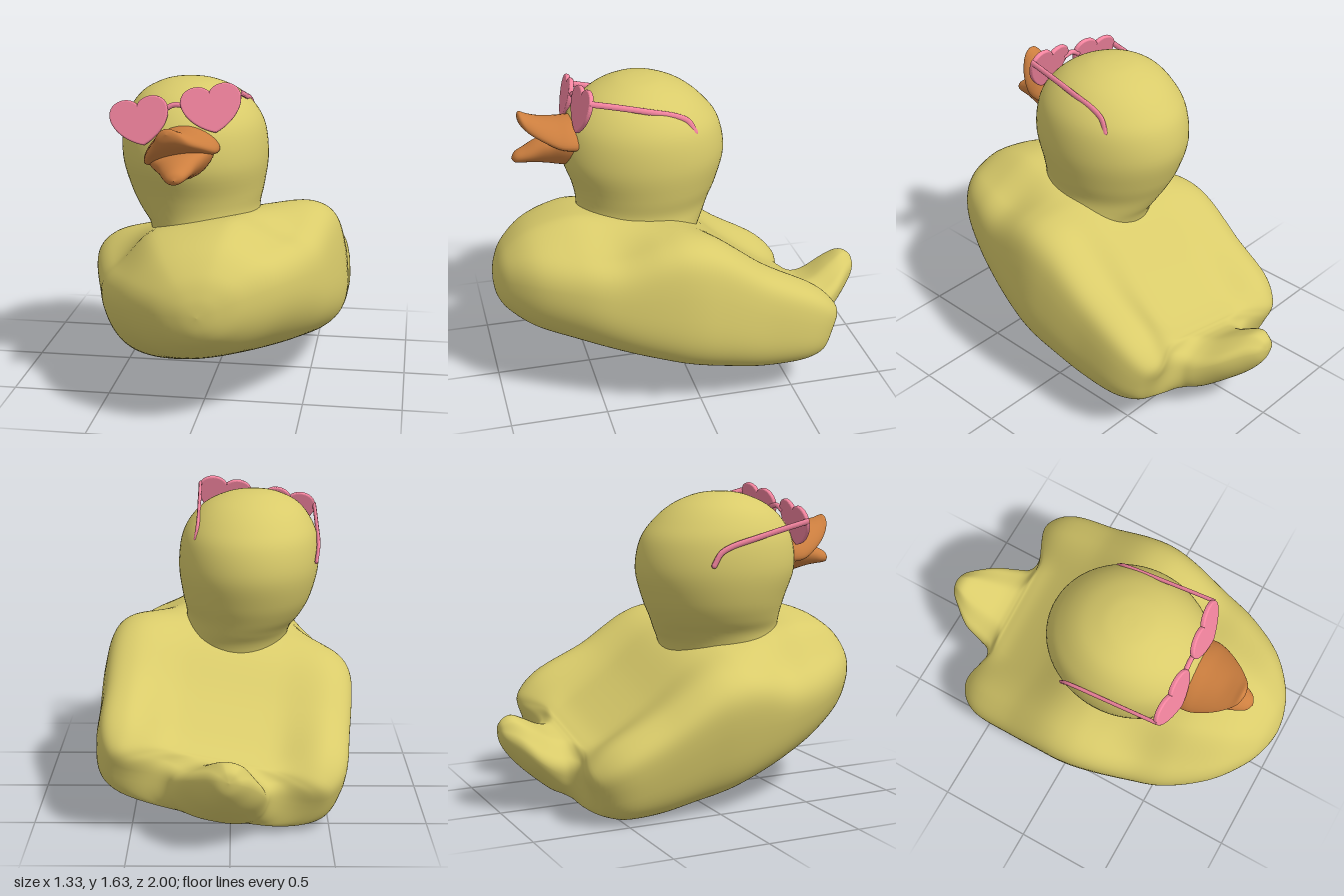
import * as THREE from 'three';

const ROLL = 0.2;
const yellow = new THREE.MeshStandardMaterial({ color: 0xd9cb6a });
const orange = new THREE.MeshStandardMaterial({ color: 0xcd7f3f });
const pink = new THREE.MeshStandardMaterial({ color: 0xf585a0 });

const { smoothstep, lerp } = THREE.MathUtils;
const spow = (v, e) => Math.sign(v) * Math.abs(v) ** e;

// Smoothly resample a table of rows (Catmull-Rom on every column)
function resample(rows, steps) {
  const out = [];
  const n = rows.length - 1;
  for (let i = 0; i < n; i++) {
    const p = [rows[Math.max(i - 1, 0)], rows[i], rows[i + 1], rows[Math.min(i + 2, n)]];
    for (let k = 0; k < steps; k++) {
      const t = k / steps;
      out.push(p[1].map((b, c) => {
        const a = p[0][c], d = p[2][c], e = p[3][c];
        return b + 0.5 * t * (d - a + t * (2 * a - 5 * b + 4 * d - e + t * (3 * (b - d) + e - a)));
      }));
    }
  }
  out.push(rows[n]);
  return out;
}

// Skin a series of closed rings; ring(row, angle) gives a point [x, y, z]
function loft(name, rows, ring, material, steps = 5, sides = 64) {
  const pos = [], index = [];
  const all = resample(rows, steps);
  all.forEach((row, i) => {
    for (let j = 0; j < sides; j++) {
      pos.push(...ring(row, (j / sides) * Math.PI * 2));
      if (i === all.length - 1) continue;
      const a = i * sides + j, b = i * sides + ((j + 1) % sides);
      index.push(a, b, a + sides, b, b + sides, a + sides);
    }
  });
  const geo = new THREE.BufferGeometry();
  geo.setAttribute('position', new THREE.Float32BufferAttribute(pos, 3));
  geo.setIndex(index);
  geo.computeVertexNormals();
  const mesh = new THREE.Mesh(geo, material);
  mesh.name = name;
  return mesh;
}

// Body with raised wing rims, hollow back and upturned tail
function makeBody() {
  // z, centre x, half width, bottom, top at the middle, top at the rim
  const rows = [
    [-1, -0.01, 0, 0.42, 0.42, 0.42],
    [-0.985, -0.01, 0.06, 0.35, 0.47, 0.46],
    [-0.93, -0.01, 0.12, 0.27, 0.495, 0.47],
    [-0.85, -0.01, 0.19, 0.19, 0.46, 0.43],
    [-0.75, 0, 0.235, 0.11, 0.4, 0.37],
    [-0.69, 0.005, 0.265, 0.09, 0.38, 0.35],
    [-0.655, 0.01, 0.34, 0.085, 0.38, 0.35],
    [-0.635, 0.015, 0.48, 0.08, 0.385, 0.37],
    [-0.605, 0.015, 0.57, 0.075, 0.395, 0.42],
    [-0.5, 0.015, 0.632, 0.055, 0.45, 0.54],
    [-0.3, 0.02, 0.645, 0.05, 0.6, 0.69],
    [-0.1, 0.03, 0.655, 0.08, 0.78, 0.83],
    [0.05, 0.033, 0.655, 0.11, 0.86, 0.875],
    [0.2, 0.033, 0.63, 0.15, 0.89, 0.865],
    [0.4, 0.033, 0.575, 0.2, 0.92, 0.82],
    [0.6, 0.035, 0.51, 0.26, 0.94, 0.85],
    [0.8, 0.05, 0.385, 0.335, 0.89, 0.85],
    [0.93, 0.06, 0.23, 0.43, 0.79, 0.78],
    [0.985, 0.065, 0.1, 0.51, 0.69, 0.69],
    [1, 0.065, 0, 0.6, 0.6, 0.6],
  ];
  const c = Math.cos(ROLL), s = Math.sin(ROLL);
  return loft('body', rows, ([z, x0, hw, bot, mid, rim], a) => {
    // Boxy through the middle, round at the chest and tail
    const e = 1 - 0.52 * smoothstep(z, -0.85, -0.6) * (1 - 0.75 * smoothstep(z, 0.1, 0.85));
    const u = spow(Math.cos(a), e), v = spow(Math.sin(a), e);
    const top = lerp(mid, rim, smoothstep(Math.abs(u), 0.35, 0.82));
    const waist = bot + 0.58 * (rim - bot);
    const dx = u * hw * (v < 0 ? 1 + 0.06 * v : 1);
    const X = x0 + dx;
    const Y = waist + v * (v > 0 ? top - waist : waist - bot) - 0.5;
    // Wing tips lean back beyond the saddle beside the tail
    const wing = smoothstep(Math.abs(dx), 0.26, 0.52) * (1 - smoothstep(z, -0.62, -0.3));
    return [c * X - s * Y, 0.5 + s * X + c * Y, z - wing * (0.04 + 0.055 * v + 0.02 * u)];
  }, yellow, 6, 112);
}

// Head and neck
function makeHead() {
  // y, x min, x max, z min, z max
  const rows = [
    [0.62, -0.25, 0.25, -0.06, 0.5],
    [0.8, -0.3, 0.28, -0.1, 0.56],
    [0.88, -0.325, 0.25, -0.14, 0.54],
    [0.95, -0.375, 0.238, -0.175, 0.528],
    [1.05, -0.425, 0.257, -0.22, 0.545],
    [1.2, -0.463, 0.277, -0.26, 0.592],
    [1.35, -0.458, 0.262, -0.235, 0.575],
    [1.45, -0.42, 0.215, -0.165, 0.52],
    [1.53, -0.355, 0.135, -0.07, 0.43],
    [1.58, -0.26, 0.03, 0.04, 0.32],
    [1.597, -0.18, -0.06, 0.12, 0.24],
    [1.6, -0.12, -0.12, 0.18, 0.18],
  ];
  return loft('head', rows, ([y, x0, x1, z0, z1], a) => [
    (x0 + x1) / 2 + ((x1 - x0) / 2) * Math.cos(a), y,
    (z0 + z1) / 2 - ((z1 - z0) / 2) * Math.sin(a),
  ], yellow);
}

// One half of the bill: rows of z, half width, centre y, half height, edge droop
function makeBill(name, rows) {
  return loft(name, rows, ([z, hw, y, h, droop], a) => {
    const u = Math.cos(a);
    return [u * hw, y + h * Math.sin(a) - droop * u * u, z];
  }, orange, 5, 40);
}

function makeBeak() {
  const beak = new THREE.Group();
  beak.name = 'beak';
  beak.add(
    makeBill('upperBill', [
      [0.45, 0.17, 0.03, 0.09, 0.05],
      [0.55, 0.187, 0.04, 0.08, 0.055],
      [0.62, 0.175, 0.052, 0.068, 0.06],
      [0.7, 0.135, 0.075, 0.053, 0.045],
      [0.76, 0.09, 0.1, 0.045, 0.03],
      [0.795, 0.05, 0.125, 0.034, 0.01],
      [0.808, 0, 0.135, 0, 0],
    ]),
    makeBill('lowerBill', [
      [0.45, 0.14, -0.065, 0.07, -0.04],
      [0.58, 0.165, -0.065, 0.07, -0.055],
      [0.66, 0.13, -0.055, 0.066, -0.03],
      [0.72, 0.095, -0.053, 0.058, -0.01],
      [0.78, 0.068, -0.064, 0.042, 0],
      [0.83, 0.04, -0.075, 0.028, 0],
      [0.85, 0, -0.08, 0, 0],
    ]),
  );
  beak.position.set(-0.1, 1.3, 0);
  beak.rotation.z = ROLL;
  return beak;
}

// Heart-shaped glasses
function makeGlasses() {
  const glasses = new THREE.Group();
  glasses.name = 'glasses';
  const add = (name, geo) => {
    const mesh = new THREE.Mesh(geo, pink);
    mesh.name = name;
    glasses.add(mesh);
    return mesh;
  };
  const tube = (pts, r) => new THREE.TubeGeometry(
    new THREE.CatmullRomCurve3(pts.map((p) => new THREE.Vector3(...p))), 32, r, 10);

  const heart = new THREE.Shape();
  heart.moveTo(0, -0.11);
  heart.bezierCurveTo(0.07, -0.085, 0.142, -0.02, 0.14, 0.045);
  heart.bezierCurveTo(0.135, 0.115, 0.03, 0.125, 0, 0.068);
  heart.bezierCurveTo(-0.03, 0.125, -0.135, 0.115, -0.14, 0.045);
  heart.bezierCurveTo(-0.142, -0.02, -0.07, -0.085, 0, -0.11);
  const lens = new THREE.ExtrudeGeometry(heart, {
    depth: 0.008, curveSegments: 16, bevelThickness: 0.008, bevelSize: 0.008, bevelSegments: 3,
  });

  for (const [side, sx] of [['left', 1], ['right', -1]]) {
    const l = add(side + 'Lens', lens);
    l.position.set(sx * 0.178, -0.02, 0.005);
    l.rotation.y = sx * 0.08;
    // Temple arm with a hook behind the head
    const arm = add(side + 'Arm', tube([
      [0, 0.035, 0.005], [0, 0.038, -0.15], [0, 0.038, -0.3],
      [0, 0.036, -0.45], [0, 0.02, -0.51], [0, -0.03, -0.555],
    ], 0.016));
    arm.scale.x = 0.6;
    arm.position.x = sx * 0.32;
    const tip = add(side + 'ArmTip', new THREE.SphereGeometry(0.016, 10, 8));
    tip.scale.x = 0.6;
    tip.position.set(sx * 0.32, -0.03, -0.555);
  }
  add('bridge', tube([[-0.06, 0.01, 0.012], [0, 0.028, 0.016], [0.06, 0.01, 0.012]], 0.013));

  glasses.position.set(-0.137, 1.485, 0.5);
  glasses.rotation.set(-0.25, 0, ROLL);
  return glasses;
}

export function createModel() {
  const model = new THREE.Group();
  model.name = 'rubberDuck';
  model.add(makeBody(), makeHead(), makeBeak(), makeGlasses());
  return model;
}
